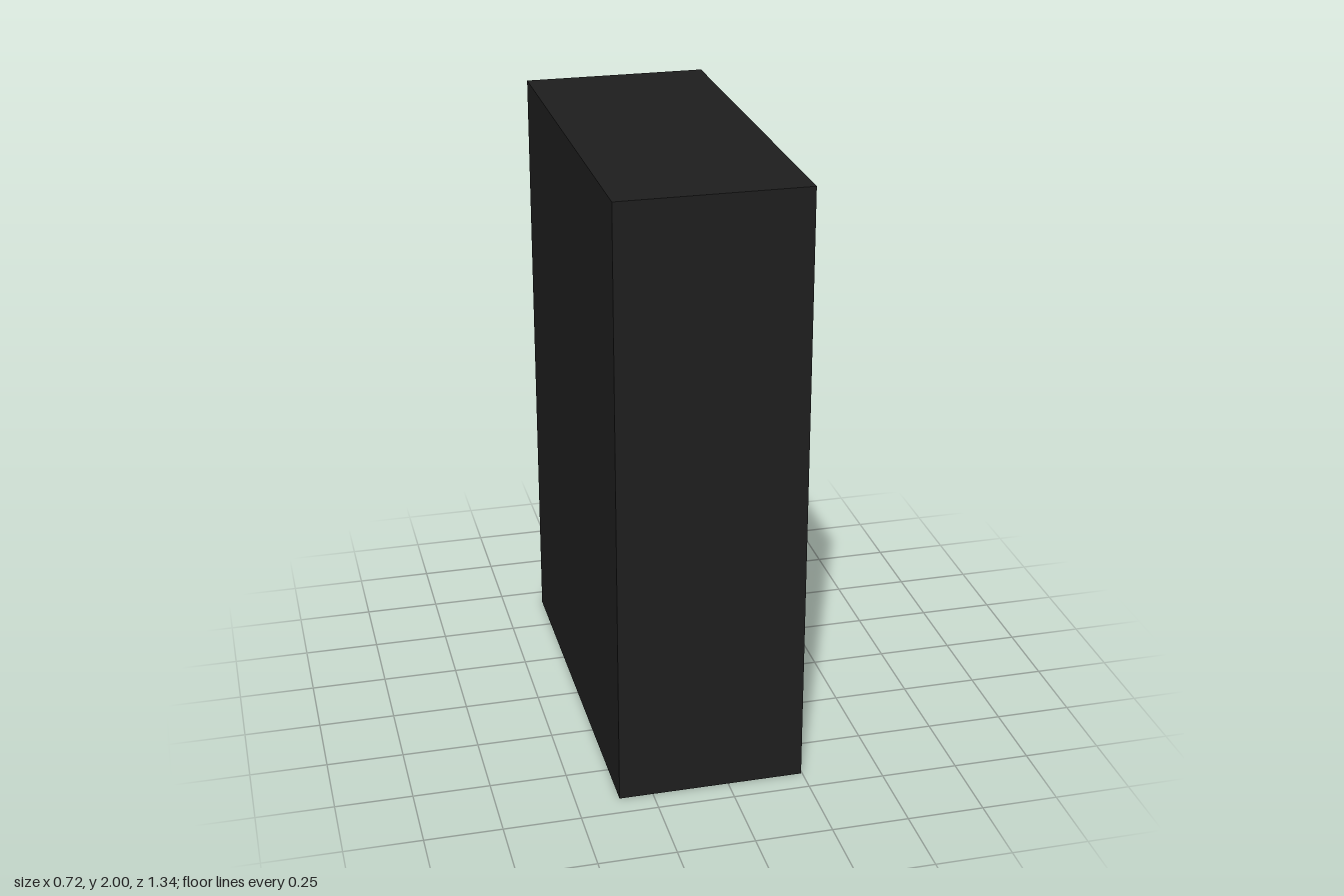
import * as THREE from 'three';

const mat = (color) => new THREE.MeshStandardMaterial({ color, flatShading: true });

export function createModel() {
  const group = new THREE.Group();
  const black = mat(0x1e1e1e);

  function add(name, geometry, material, x = 0, y = 0, z = 0) {
    const mesh = new THREE.Mesh(geometry, material);
    mesh.name = name;
    mesh.position.set(x, y, z);
    group.add(mesh);
  }

  // Box spanning the given ranges
  function addBox(name, material, [x0, x1], [y0, y1], [z0, z1]) {
    add(name, new THREE.BoxGeometry(x1 - x0, y1 - y0, z1 - z0), material,
      (x0 + x1) / 2, (y0 + y1) / 2, (z0 + z1) / 2);
  }

  const rectangle = (PathType, w, y0, y1) => new PathType([
    new THREE.Vector2(-w, y0), new THREE.Vector2(w, y0),
    new THREE.Vector2(w, y1), new THREE.Vector2(-w, y1),
  ]);

  // Housing walls, extruded across the width, with a recess open to +x
  const outline = rectangle(THREE.Shape, 0.672, 0, 2);
  outline.holes.push(rectangle(THREE.Path, 0.612, 0.095, 1.91));
  const walls = new THREE.ExtrudeGeometry(outline, { depth: 0.606, bevelEnabled: false });
  walls.rotateY(Math.PI / 2);
  add('housing', walls, black, -0.36);

  // Back of the housing and the panel at the bottom of the recess
  addBox('housingBack', black, [-0.36, 0.1], [0.095, 1.91], [-0.612, 0.612]);
  addBox('panel', mat(0x626061), [0.1, 0.146], [0.095, 1.91], [-0.612, 0.612]);

  // Square label, almost flush with the panel
  addBox('square', mat(0x8457e0), [0.13, 0.149], [1.292, 1.66], [0.136, 0.504]);

  // Upright cylinder sunk into the panel
  add('cylinder', new THREE.CylinderGeometry(0.333, 0.333, 1.317, 32), mat(0x10d030),
    0.027, 1.002, -0.243);

  return group;
}
